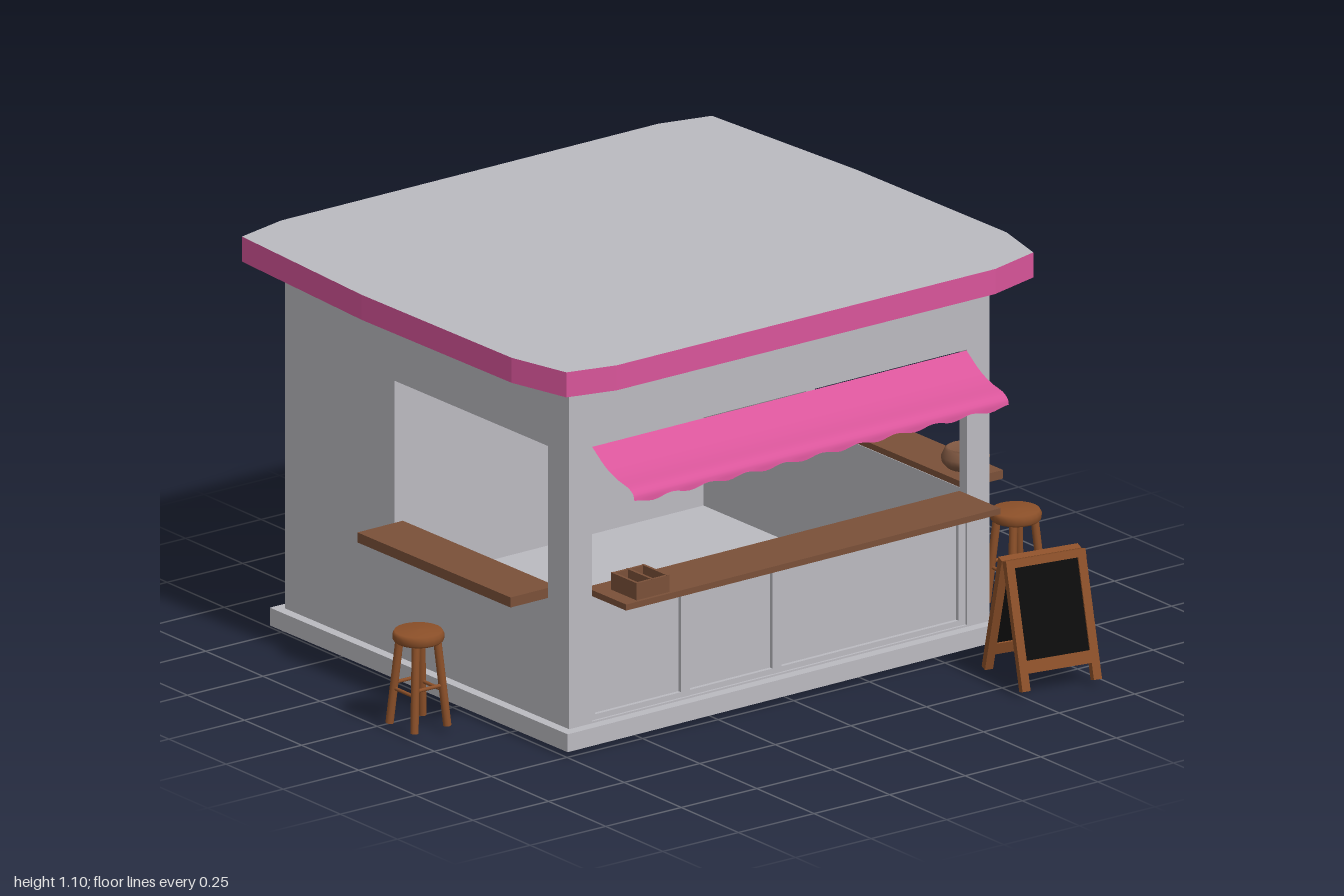
import * as THREE from 'three';

const mat = (name, color, side = THREE.FrontSide) => {
  const m = new THREE.MeshStandardMaterial({ color, side });
  m.name = name;
  return m;
};

export function createModel() {
  const grey = mat('wallGrey', 0xbbbac0);
  const pink = mat('pinkTrim', 0xd9559a, THREE.DoubleSide);
  const wood = mat('counterWood', 0x7a5039);
  const stoolWood = mat('stoolWood', 0x8c5029);
  const weave = mat('basketBrown', 0x7d5640, THREE.DoubleSide);
  const black = mat('boardBlack', 0x0c0c0c);

  const model = new THREE.Group();
  model.name = 'kiosk';

  const add = (parent, name, geo, material, x = 0, y = 0, z = 0) => {
    const m = new THREE.Mesh(geo, material);
    m.name = name;
    m.position.set(x, y, z);
    parent.add(m);
    return m;
  };
  // Box given by its minimum and maximum corners
  const box = (parent, name, material, x0, x1, y0, y1, z0, z1) =>
    add(parent, name, new THREE.BoxGeometry(x1 - x0, y1 - y0, z1 - z0), material,
      (x0 + x1) / 2, (y0 + y1) / 2, (z0 + z1) / 2);
  // Round bar between two points
  const bar = (parent, name, material, a, b, r0, r1 = r0) => {
    const p = new THREE.Vector3(...a), q = new THREE.Vector3(...b);
    const d = q.clone().sub(p);
    const m = add(parent, name, new THREE.CylinderGeometry(r1, r0, d.length(), 10), material);
    m.position.copy(p).add(q).multiplyScalar(0.5);
    m.quaternion.setFromUnitVectors(new THREE.Vector3(0, 1, 0), d.normalize());
  };
  // Flat wall with one rectangular opening
  const rect = (path, u0, u1, v0, v1) =>
    path.moveTo(u0, v0).lineTo(u1, v0).lineTo(u1, v1).lineTo(u0, v1).closePath();
  const wallGeo = (u0, u1, hole) => {
    const s = new THREE.Shape();
    rect(s, u0, u1, 0.065, 1.035);
    const h = new THREE.Path();
    rect(h, ...hole);
    s.holes.push(h);
    return new THREE.ExtrudeGeometry(s, { depth: 0.03, bevelEnabled: false });
  };

  // Building, turned very slightly
  const hut = new THREE.Group();
  hut.name = 'building';
  hut.rotation.y = 0.014;
  model.add(hut);
  box(hut, 'plinth', grey, -0.79, 0.49, 0.015, 0.065, -0.706, 0.755);
  add(hut, 'frontWall', wallGeo(-0.76, 0.46, [-0.29, 0.37, 0.42, 0.832]), grey, 0, 0, 0.697);
  add(hut, 'backWall', wallGeo(-0.76, 0.46, [-0.29, 0.37, 0.42, 0.825]), grey, 0, 0, -0.678);
  box(hut, 'leftBlankWall', grey, -0.76, -0.73, 0.065, 1.035, -0.648, 0.697);
  const side = add(hut, 'servingWall', wallGeo(-0.648, 0.697, [-0.603, 0.65, 0.07, 0.84]), grey, 0.46);
  side.rotation.y = -Math.PI / 2;

  // Panelled front under the serving hatch
  box(hut, 'panelBack', grey, 0.432, 0.442, 0.065, 0.42, -0.603, 0.65);
  for (const [z0, z1] of [[-0.603, -0.58], [0.012, 0.042], [0.318, 0.348], [0.636, 0.65]])
    for (const x of [0.442, 0.424]) box(hut, 'panelStile', grey, x, x + 0.012, 0.065, 0.42, z0, z1);
  for (const [y0, y1] of [[0.065, 0.085], [0.4, 0.42]])
    for (const x of [0.442, 0.424]) box(hut, 'panelRail', grey, x, x + 0.011, y0, y1, -0.603, 0.65);

  // Counters
  box(hut, 'frontCounter', wood, -0.289, 0.369, 0.407, 0.435, 0.7, 0.852);
  box(hut, 'backCounter', wood, -0.289, 0.369, 0.413, 0.437, -0.795, -0.65);
  box(hut, 'sideCounter', wood, 0.43, 0.605, 0.42, 0.437, -0.602, 0.649);
  box(hut, 'backKickBoard', wood, -0.289, 0.369, 0.015, 0.062, -0.712, -0.705);

  // Roof slab with pink fascia
  const outline = [[-0.85, -0.75], [-0.28, -0.795], [0.36, -0.81], [0.53, -0.77], [0.575, -0.61],
    [0.585, 0.65], [0.55, 0.79], [0.37, 0.835], [-0.27, 0.848], [-0.83, 0.82], [-0.87, 0.66], [-0.885, -0.6]];
  const roofShape = new THREE.Shape(outline.map(([x, z]) => new THREE.Vector2(x, -z)));
  const roofGeo = new THREE.ExtrudeGeometry(roofShape, { depth: 0.07, bevelEnabled: false });
  roofGeo.rotateX(-Math.PI / 2);
  add(model, 'roof', roofGeo, [grey, pink], 0, 1.03, 0);

  // Curved awning with scalloped lower edge
  const curve = new THREE.CatmullRomCurve3([[0.46, 0.838], [0.52, 0.796], [0.57, 0.776], [0.62, 0.764],
    [0.638, 0.75], [0.642, 0.732]].map(([x, y]) => new THREE.Vector3(x, y, 0)));
  const awning = new THREE.PlaneGeometry(1, 1, 80, 14);
  const pos = awning.attributes.position;
  for (let i = 0; i < pos.count; i++) {
    const u = pos.getX(i), t = 0.5 - pos.getY(i);
    const p = curve.getPoint(t);
    const wave = t > 0.99 ? 0.005 * Math.cos((u + 0.5) * Math.PI * 20) : 0;
    pos.setXYZ(i, p.x, p.y + wave, 0.024 - u * 1.252);
  }
  awning.computeVertexNormals();
  add(hut, 'awning', awning, pink);

  // Divided crate on the side counter
  const crate = new THREE.Group();
  crate.name = 'crate';
  crate.position.set(0.54, 0.437, 0.552);
  hut.add(crate);
  box(crate, 'crateFloor', wood, -0.055, 0.055, 0, 0.012, -0.055, 0.055);
  for (const s of [-0.051, 0, 0.051]) {
    box(crate, 'crateBoardAcross', wood, -0.055, 0.055, 0, 0.048, s - 0.004, s + 0.004);
    if (s) box(crate, 'crateBoardEnd', wood, s - 0.004, s + 0.004, 0, 0.047, -0.055, 0.055);
  }

  const lathe = (pts, seg) => new THREE.LatheGeometry(pts.map(([r, y]) => new THREE.Vector2(r, y)), seg);

  // Round bowl on the back counter
  add(model, 'roundPot', lathe([[0, 0], [0.048, 0], [0.063, 0.016], [0.065, 0.032], [0.055, 0.052],
    [0.049, 0.056], [0.047, 0.046], [0, 0.046]], 20), weave, 0.275, 0.437, -0.738);

  // Oval planter basket
  const basket = add(model, 'planterBasket', lathe([[0, 0], [0.098, 0], [0.117, 0.138], [0.129, 0.14],
    [0.129, 0.155], [0.108, 0.155], [0.09, 0.02], [0, 0.02]], 28), weave, 0.502, 0.01, -0.845);
  basket.scale.z = 0.61;

  // Stools
  for (const [x, y, z] of [[0.088, 0.015, 0.93], [-0.157, 0, -0.935], [0.235, 0, -0.935]]) {
    const stool = new THREE.Group();
    stool.name = 'stool';
    stool.position.set(x, y, z);
    model.add(stool);
    add(stool, 'stoolSeat', lathe([[0, 0.235], [0.062, 0.235], [0.068, 0.241], [0.069, 0.256],
      [0.064, 0.265], [0, 0.268]], 20), stoolWood);
    const foot = (i, r) => {
      const a = Math.PI / 4 + (i * Math.PI) / 2;
      return [Math.cos(a) * r, Math.sin(a) * r];
    };
    for (let i = 0; i < 4; i++) {
      const [fx, fz] = foot(i, 0.077), [tx, tz] = foot(i, 0.05);
      bar(stool, 'stoolLeg', stoolWood, [fx, 0.002, fz], [tx, 0.24, tz], 0.011);
      const h = i % 2 ? 0.115 : 0.1;
      const [ax, az] = foot(i, 0.066), [bx, bz] = foot(i + 1, 0.066);
      bar(stool, 'stoolRung', stoolWood, [ax, h, az], [bx, h, bz], 0.005);
    }
  }

  // Folding chalkboard sign
  const sign = new THREE.Group();
  sign.name = 'chalkboardSign';
  sign.position.set(0.755, 0.012, -0.628);
  sign.rotation.y = -0.17;
  model.add(sign);
  for (const s of [-1, 1]) {
    const leaf = new THREE.Group();
    leaf.name = 'signLeaf';
    leaf.position.set(s * 0.012, 0.338, 0);
    leaf.rotation.z = s * 0.28;
    sign.add(leaf);
    for (const e of [-1, 1])
      box(leaf, 'signLeg', stoolWood, -0.01, 0.01, -0.348, 0, e * 0.106 - 0.012, e * 0.106 + 0.012);
    box(leaf, 'signTopRail', stoolWood, -0.011, 0.011, -0.02, 0.001, -0.118, 0.118);
    box(leaf, 'signBottomRail', stoolWood, -0.01, 0.01, -0.302, -0.268, -0.1, 0.1);
    box(leaf, 'chalkboard', black, -0.005, 0.005, -0.27, -0.018, -0.096, 0.096);
  }

  return model;
}
